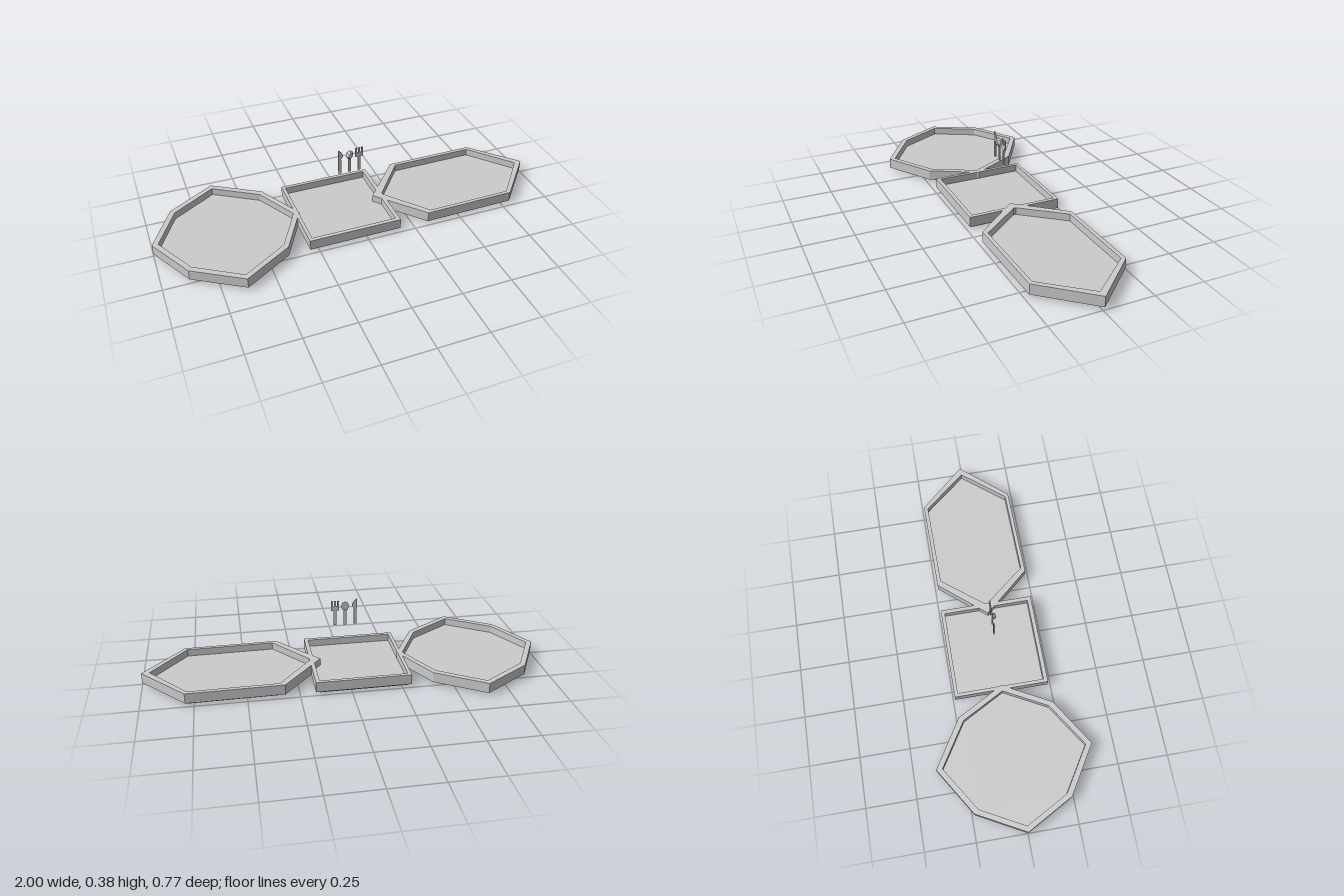
import * as THREE from 'three';

const material = new THREE.MeshStandardMaterial({ color: 0xcccccc, flatShading: true, side: THREE.DoubleSide });

const toVectors = (points) => points.map(([x, y]) => new THREE.Vector2(x, y));

// Straight extrusion of an outline, with an optional hole
function slab(outline, depth, hole) {
  const shape = new THREE.Shape(toVectors(outline));
  if (hole) shape.holes.push(new THREE.Path(toVectors(hole)));
  return new THREE.ExtrudeGeometry(shape, { depth, bevelEnabled: false });
}

function addMesh(parent, name, geometry) {
  const mesh = new THREE.Mesh(geometry, material);
  mesh.name = name;
  parent.add(mesh);
  return mesh;
}

// Outlines are given as [x, z] and laid flat
function createTray(name, outer, inner) {
  const tray = new THREE.Group();
  tray.name = name;
  const lay = (points) => points.map(([x, z]) => [x, -z]);
  const rim = slab(lay(outer), 0.052, lay(inner)).rotateX(-Math.PI / 2).translate(0, 0.013, 0);
  const base = slab(lay(inner), 0.028).rotateX(-Math.PI / 2);
  addMesh(tray, 'rim', rim);
  addMesh(tray, 'base', base);
  return tray;
}

// Eight-sided outline from its tip, shoulder and side-point distances
function octagon(cx, tip, shoulderX, shoulderZ, point) {
  return [
    [tip, 0], [shoulderX, shoulderZ], [0, point], [-shoulderX, shoulderZ],
    [-tip, 0], [-shoulderX, -shoulderZ], [0, -point], [shoulderX, -shoulderZ],
  ].map(([x, z]) => [cx + x, z]);
}

const rectangle = (x0, x1, y0, y1) => [[x0, y0], [x1, y0], [x1, y1], [x0, y1]];

function createCutlery() {
  const cutlery = new THREE.Group();
  cutlery.name = 'cutlery';
  const t = 0.006;
  const flat = (points) => slab(points, t).translate(0, 0, -t / 2);

  // Knife: narrow handle, blade with a slanted tip
  addMesh(cutlery, 'knife', flat([
    [-0.064, 0.247], [-0.05, 0.247], [-0.05, 0.33], [-0.041, 0.342],
    [-0.041, 0.352], [-0.05, 0.367], [-0.064, 0.38],
  ]));

  // Spoon: handle and a shallow faceted bowl bulging forward
  addMesh(cutlery, 'spoonHandle', flat(rectangle(-0.013, 0.001, 0.247, 0.325)));
  const bowl = new THREE.CylinderGeometry(0.5, 1, 1, 8)
    .rotateX(Math.PI / 2).scale(0.02, 0.025, 0.017).translate(-0.006, 0.344, 0.0085);
  addMesh(cutlery, 'spoonBowl', bowl);

  // Fork: handle, crossbar and three tines
  addMesh(cutlery, 'fork', flat([
    [0.037, 0.247], [0.051, 0.247], [0.051, 0.325], [0.064, 0.325],
    [0.064, 0.374], [0.055, 0.374], [0.055, 0.346], [0.049, 0.346],
    [0.049, 0.374], [0.039, 0.374], [0.039, 0.346], [0.033, 0.346],
    [0.033, 0.374], [0.024, 0.374], [0.024, 0.325], [0.037, 0.325],
  ]));
  return cutlery;
}

export function createModel() {
  const model = new THREE.Group();
  model.name = 'traysAndCutlery';

  model.add(createTray('octagonalTray',
    octagon(-0.637, 0.363, 0.236, 0.237, 0.385),
    octagon(-0.637, 0.333, 0.218, 0.215, 0.354)));

  model.add(createTray('squareTray',
    rectangle(-0.295, 0.175, -0.24, 0.235),
    rectangle(-0.278, 0.155, -0.222, 0.215)));

  model.add(createTray('hexagonalTray',
    [[0.12, 0], [0.32, -0.235], [0.79, -0.24], [1, -0.008], [0.795, 0.228], [0.325, 0.235]],
    [[0.17, 0], [0.342, -0.215], [0.78, -0.22], [0.96, -0.006], [0.782, 0.21], [0.345, 0.216]]));

  model.add(createCutlery());
  return model;
}
